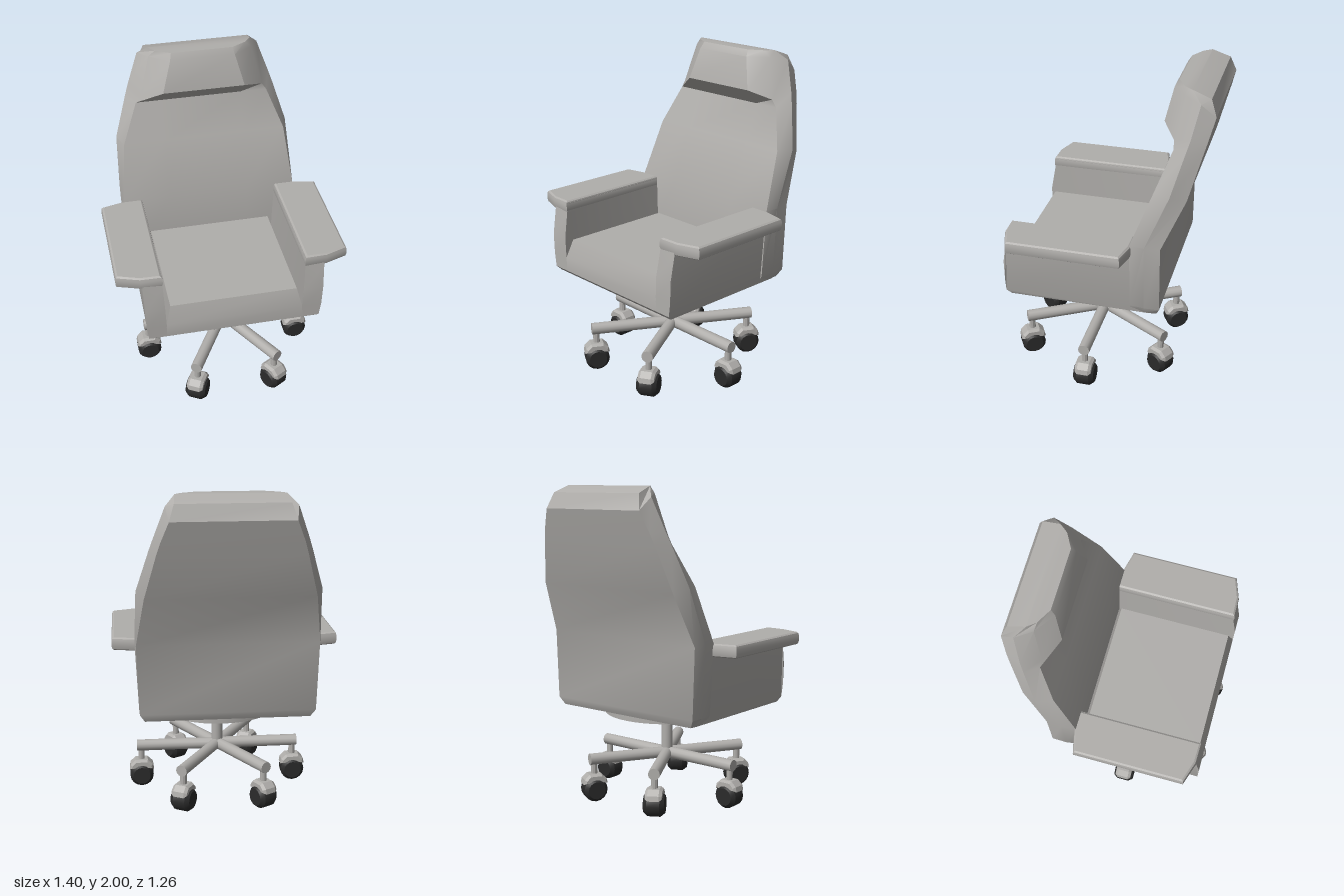
import * as THREE from 'three';
import { toCreasedNormals } from 'three/addons/utils/BufferGeometryUtils.js';

export function createModel() {
  const model = new THREE.Group();
  model.name = 'officeChair';
  const grey = new THREE.MeshStandardMaterial({ color: 0xb0aeab });
  grey.name = 'warm grey';
  const black = new THREE.MeshStandardMaterial({ color: 0x2b2b2b });
  black.name = 'castor black';

  const add = (parent, name, geo, mat = grey, crease = 0.6) => {
    const mesh = new THREE.Mesh(toCreasedNormals(geo, crease), mat);
    mesh.name = name;
    parent.add(mesh);
    return mesh;
  };
  const shapeOf = pts => new THREE.Shape(pts.map(p => new THREE.Vector2(p[0], p[1])));

  // piecewise linear lookup of [y, value] pairs
  const lookup = (table, y) => {
    if (y <= table[0][0]) return table[0][1];
    for (let i = 1; i < table.length; i++) {
      const [y0, v0] = table[i - 1], [y1, v1] = table[i];
      if (y <= y1) return v0 + (v1 - v0) * (y - y0) / (y1 - y0);
    }
    return table[table.length - 1][1];
  };

  // side profile [z, y] extruded across x, each end placed by its own rule of y
  const slab = (profile, xMin, xMax) => {
    const geo = new THREE.ExtrudeGeometry(shapeOf(profile), { depth: 1, bevelEnabled: false });
    geo.translate(0, 0, -0.5).rotateY(-Math.PI / 2);
    const p = geo.attributes.position;
    for (let i = 0; i < p.count; i++) {
      p.setX(i, p.getX(i) > 0 ? xMax(p.getY(i)) : xMin(p.getY(i)));
    }
    return geo;
  };

  // seat with a sloping edge on its front and sides
  const seatSide = y => lookup([[0.6, 0.43], [0.72, 0.42], [0.84, 0.39]], y);
  add(model, 'seat', slab(
    [[-0.3, 0.6], [0.57, 0.6], [0.6, 0.63], [0.6, 0.72], [0.565, 0.84], [-0.165, 0.84], [-0.2, 0.72], [-0.3, 0.72]],
    y => -seatSide(y), seatSide));

  // arm walls and overhanging arm pads
  const outer = y => lookup([[0.6, 0.515], [0.65, 0.54], [1.0, 0.55]], y);
  const inner = y => lookup([[0.72, 0.42], [1.0, 0.432]], y);
  const wall = [[-0.3, 0.6], [0.57, 0.6], [0.6, 0.63], [0.6, 0.72], [0.6, 0.85],
    [0.573, 1.005], [0.565, 1.07], [-0.19, 1.07], [-0.3, 1.0]];
  for (const s of [1, -1]) {
    const side = s > 0 ? 'left' : 'right';
    add(model, side + 'ArmWall', s > 0
      ? slab(wall, inner, outer)
      : slab(wall, y => -outer(y), y => -inner(y)));
    const outline = [[0.445, 0.185], [0.445, -0.56], [0.56, -0.557], [0.685, -0.515], [0.685, 0.155], [0.56, 0.185]];
    const pad = new THREE.ExtrudeGeometry(shapeOf(outline.map(([x, y]) => [x * s, y])), {
      depth: 0.03, bevelThickness: 0.025, bevelSize: 0.015, bevelSegments: 2
    });
    pad.rotateX(-Math.PI / 2).translate(0, 1.03, 0);
    add(model, side + 'ArmPad', pad);
  }

  // backrest with headrest: half rings of inner front, front edge, side, back edge
  const rings = [
    [[0.25, 0.6, -0.19], [0.5, 0.6, -0.19], [0.515, 0.6, -0.28], [0.51, 0.6, -0.35]],
    [[0.25, 0.65, -0.19], [0.53, 0.65, -0.19], [0.542, 0.65, -0.28], [0.54, 0.65, -0.373]],
    [[0.25, 1.085, -0.19], [0.555, 1.085, -0.19], [0.562, 1.085, -0.28], [0.555, 1.085, -0.375]],
    [[0.25, 1.43, -0.32], [0.513, 1.43, -0.32], [0.55, 1.43, -0.42], [0.505, 1.4, -0.512]],
    [[0.25, 1.67, -0.41], [0.415, 1.67, -0.41], [0.472, 1.68, -0.49], [0.432, 1.67, -0.584]],
    [[0.255, 1.765, -0.322], [0.385, 1.715, -0.405], [0.448, 1.75, -0.51], [0.41, 1.74, -0.603]],
    [[0.2, 1.96, -0.365], [0.32, 1.96, -0.45], [0.378, 1.94, -0.55], [0.36, 1.865, -0.635]],
    [[0.19, 2.0, -0.39], [0.28, 2.0, -0.44], [0.32, 2.0, -0.49], [0.33, 1.96, -0.6]]
  ].map(half => [...half, ...[...half].reverse().map(([x, y, z]) => [-x, y, z])]);
  const verts = [];
  const quad = (a, b, c, d) => verts.push(...a, ...b, ...c, ...a, ...c, ...d);
  for (let i = 0; i < rings.length - 1; i++) {
    for (let j = 0; j < 8; j++) {
      const k = (j + 1) % 8;
      quad(rings[i][j], rings[i][k], rings[i + 1][k], rings[i + 1][j]);
    }
  }
  const top = rings[rings.length - 1], bottom = rings[0];
  for (let j = 0; j < 3; j++) {
    quad(top[j], top[j + 1], top[6 - j], top[7 - j]);
    quad(bottom[7 - j], bottom[6 - j], bottom[j + 1], bottom[j]);
  }
  const back = new THREE.BufferGeometry();
  back.setAttribute('position', new THREE.Float32BufferAttribute(verts, 3));
  add(model, 'backrest', back, grey, 0.5);

  // swivel base
  const base = new THREE.Group();
  base.name = 'swivelBase';
  base.position.set(0.027, 0, 0.1);
  model.add(base);
  add(base, 'swivelPlate', new THREE.CylinderGeometry(0.402, 0.402, 0.05, 40).translate(0, 0.577, 0));
  add(base, 'column', new THREE.CylinderGeometry(0.037, 0.037, 0.32, 16).translate(0, 0.4, 0));

  // six legs, each with a castor
  const legGeo = new THREE.CylinderGeometry(0.037, 0.037, 0.53, 12).rotateZ(Math.PI / 2).translate(0.265, 0.27, 0);
  const stemGeo = new THREE.CylinderGeometry(0.021, 0.021, 0.1, 10).translate(0.502, 0.21, 0);
  const hoodGeo = new THREE.ExtrudeGeometry(
    shapeOf([[-0.066, 0.125], [-0.062, 0.14], [-0.035, 0.166], [0.035, 0.166], [0.062, 0.14], [0.066, 0.125]]),
    { depth: 0.07, bevelThickness: 0.018, bevelSize: 0.012, bevelSegments: 1 }
  ).translate(0.502, 0, -0.035);
  const wheelGeo = new THREE.LatheGeometry(
    [[0, -0.065], [0.056, -0.065], [0.077, -0.04], [0.077, 0.04], [0.056, 0.065], [0, 0.065]]
      .map(p => new THREE.Vector2(...p)), 16
  ).rotateX(Math.PI / 2).translate(0.502, 0.077, 0);
  for (let i = 0; i < 6; i++) {
    const leg = new THREE.Group();
    leg.name = 'leg' + (i + 1);
    leg.rotation.y = i * Math.PI / 3;
    base.add(leg);
    add(leg, 'legTube', legGeo);
    add(leg, 'castorStem', stemGeo);
    add(leg, 'castorHood', hoodGeo, grey, 0.4);
    add(leg, 'castorWheel', wheelGeo, black, 0.5);
  }
  return model;
}
